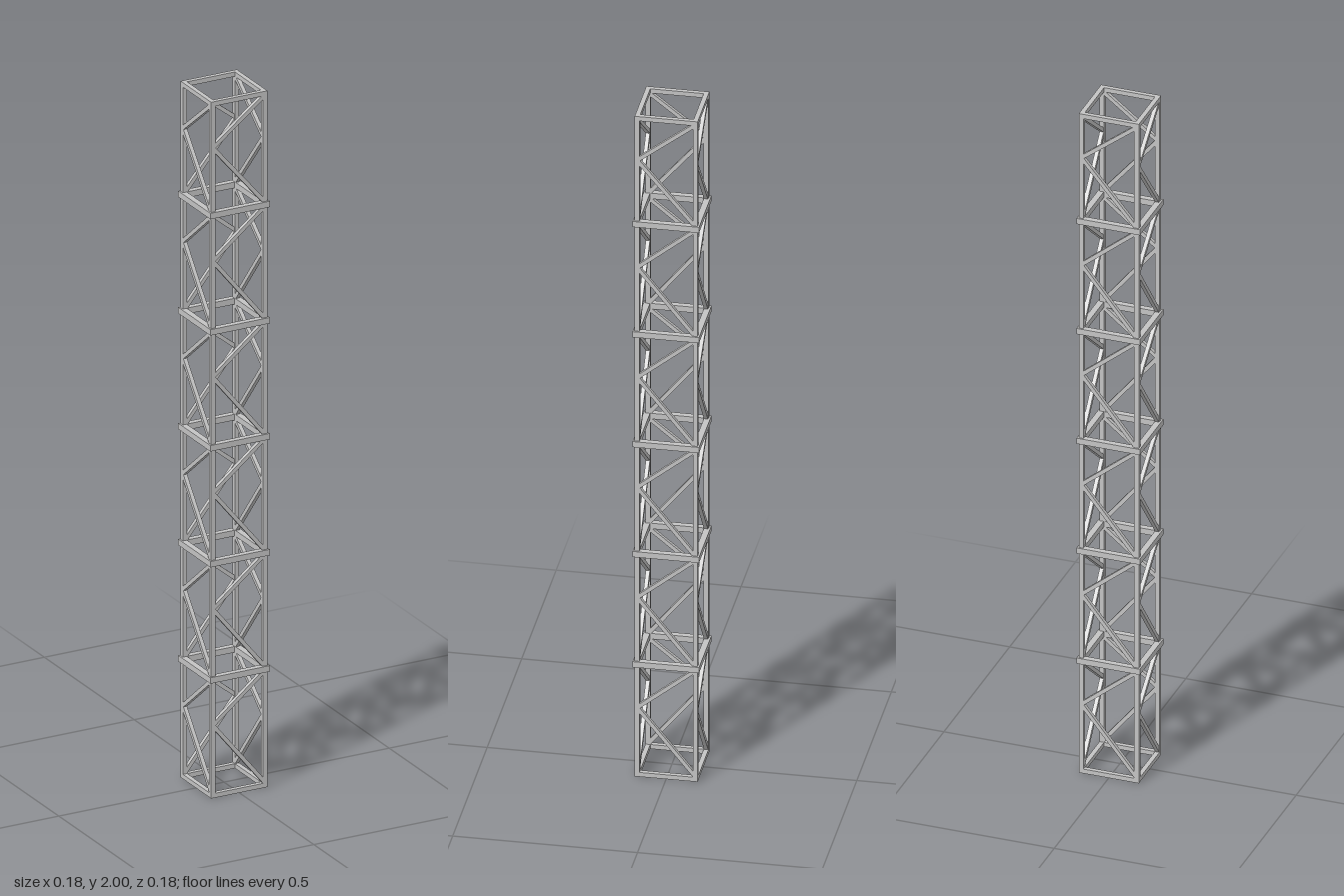
import * as THREE from 'three';

const steel = new THREE.MeshStandardMaterial({ color: 0xc4c4c4 });
steel.name = 'galvanised steel';

const POST = 0.0787;   // distance of the post axes from the centre
const POST_W = 0.013;
const RING = 0.0815;   // distance of the joint ring axes from the centre
const RING_W = 0.017;
const BRACE_W = 0.011;

// Square bar between two points
function bar(name, a, b, width) {
  const from = new THREE.Vector3(...a), to = new THREE.Vector3(...b);
  const dir = to.clone().sub(from);
  const mesh = new THREE.Mesh(new THREE.BoxGeometry(width, dir.length(), width), steel);
  mesh.name = name;
  mesh.position.copy(from).add(to).multiplyScalar(0.5);
  mesh.quaternion.setFromUnitVectors(new THREE.Vector3(0, 1, 0), dir.normalize());
  return mesh;
}

// Square ring of four bars that meet flush at the corners
function ring(name, y, offset, width) {
  const group = new THREE.Group();
  group.name = name;
  const outer = offset + width / 2, inner = offset - width / 2;
  for (const s of [-1, 1]) {
    group.add(bar(name + 'BarX', [-outer, y, s * offset], [outer, y, s * offset], width));
    group.add(bar(name + 'BarZ', [s * offset, y, -inner], [s * offset, y, inner], width));
  }
  return group;
}

export function createModel() {
  const tower = new THREE.Group();
  tower.name = 'latticeTower';

  // Corner posts
  for (const x of [-POST, POST]) {
    for (const z of [-POST, POST]) tower.add(bar('cornerPost', [x, 0, z], [x, 2, z], POST_W));
  }

  // End frames and the thicker rings at the section joints
  tower.add(ring('bottomFrame', POST_W / 2, POST, POST_W));
  tower.add(ring('topFrame', 2 - POST_W / 2, POST, POST_W));
  const levels = [0.008, 0.341, 0.675, 1.008, 1.341, 1.675, 1.994];
  for (const y of levels.slice(1, -1)) tower.add(ring('jointRing', y, RING, RING_W));

  // One zigzag of a long and a short diagonal per section, turned around the four faces
  for (let side = 0; side < 4; side++) {
    const face = new THREE.Group();
    face.name = 'bracedFace';
    for (let i = 0; i < 6; i++) {
      const y0 = levels[i], y1 = levels[i + 1];
      const mid = y0 + (y1 - y0) * 0.6;
      face.add(bar('longDiagonal', [POST, y0 + 0.006, POST], [-POST, mid, POST], BRACE_W));
      face.add(bar('shortDiagonal', [-POST, mid, POST], [POST, y1 - 0.006, POST], BRACE_W));
    }
    face.rotation.y = side * Math.PI / 2;
    tower.add(face);
  }
  return tower;
}
